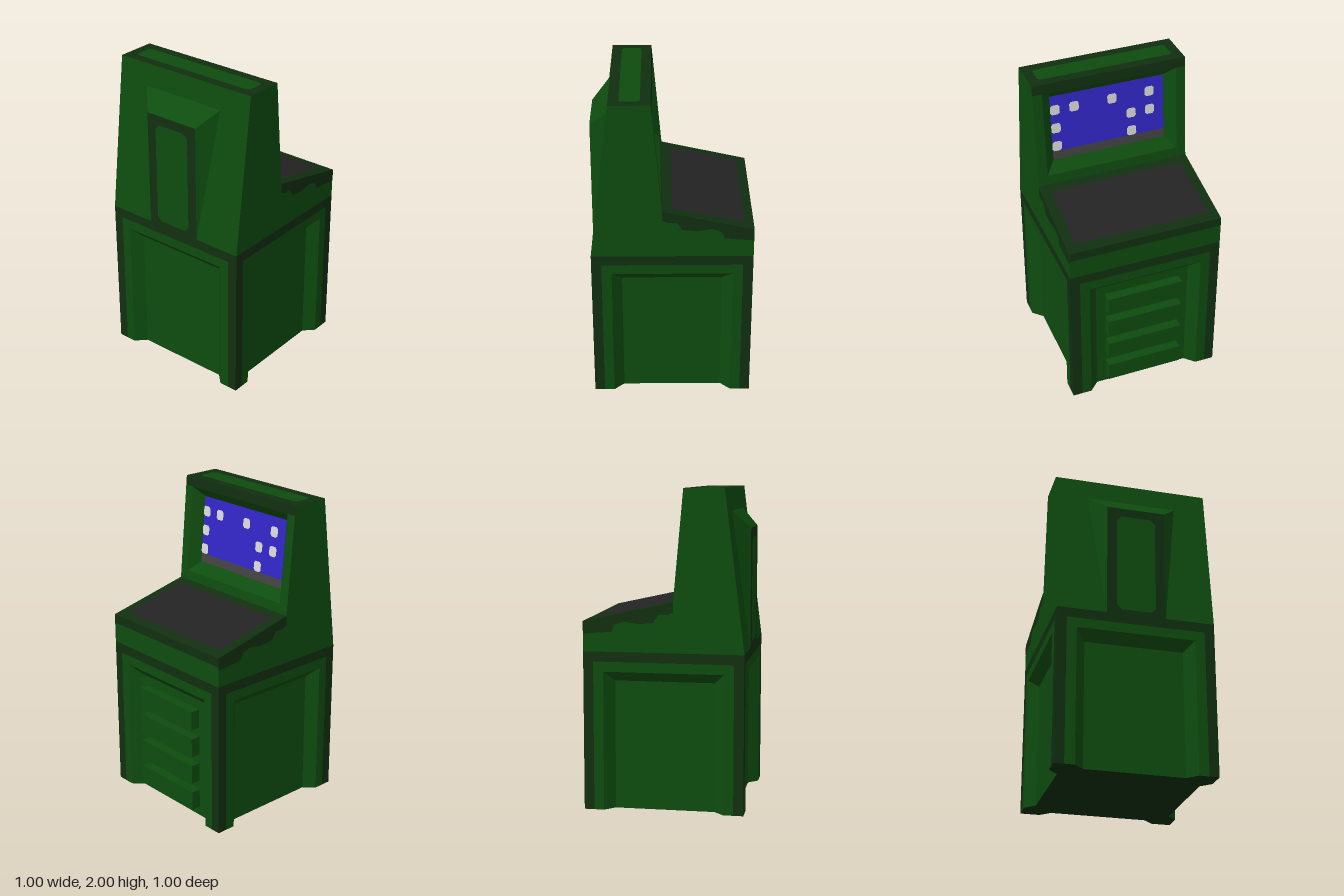
import * as THREE from 'three';

const colour = (name, hex) => {
  const m = new THREE.MeshStandardMaterial({ color: hex });
  m.name = name;
  return m;
};

// Mesh of flat convex polygons, corners anticlockwise seen from outside
function faces(name, material, polys) {
  const pos = [];
  for (const p of polys)
    for (let i = 1; i < p.length - 1; i++) pos.push(...p[0], ...p[i], ...p[i + 1]);
  const g = new THREE.BufferGeometry();
  g.setAttribute('position', new THREE.Float32BufferAttribute(pos, 3));
  g.computeVertexNormals();
  const mesh = new THREE.Mesh(g, material);
  mesh.name = name;
  return mesh;
}

// Rectangle (with optional cut corners) placed on a surface by a mapping
function rect(u0, v0, u1, v1, map, c = 0) {
  const pts = c
    ? [[u0 + c, v0], [u1 - c, v0], [u1, v0 + c], [u1, v1 - c], [u1 - c, v1], [u0 + c, v1], [u0, v1 - c], [u0, v0 + c]]
    : [[u0, v0], [u1, v0], [u1, v1], [u0, v1]];
  return pts.map(([u, v]) => map(u, v));
}
const atZ = (z) => (u, v) => [u, v, z];
const mirrorZ = (p) => p.map(([x, y, z]) => [x, y, -z]).reverse();

// Sloping frame around a recess that is o wide outside and i wide inside
function bevel(o, i, y0o, y0i, y1o, y1i, outer, inner) {
  return [
    [outer(-o, y0o), inner(-i, y0i), inner(-i, y1i), outer(-o, y1o)],
    [inner(i, y0i), outer(o, y0o), outer(o, y1o), inner(i, y1i)],
    [inner(-i, y1i), inner(i, y1i), outer(o, y1o), outer(-o, y1o)],
  ];
}

export function createModel() {
  const green = colour('green', 0x0e4c0f);
  const dark = colour('dark green', 0x112f10);
  const blue = colour('screen blue', 0x3226c8);
  const white = colour('light grey', 0xdadada);
  const black = colour('charcoal', 0x242324);
  const grey = colour('grey', 0x434343);

  const model = new THREE.Group();
  model.name = 'console';
  const group = (name, turn, ...meshes) => {
    const g = new THREE.Group();
    g.name = name;
    g.rotation.y = turn;
    g.add(...meshes);
    model.add(g);
    return g;
  };

  // Cabinet: four equal sides with a recessed panel open at the floor
  const out = atZ(0.5), deep = atZ(0.4375);
  const sides = ['front', 'right', 'back', 'left'];
  sides.forEach((s, k) => {
    group(s + 'CabinetSide', k * Math.PI / 2,
      faces('border', dark, [
        rect(-0.5, 0, -0.4375, 1, out), rect(0.4375, 0, 0.5, 1, out),
        rect(-0.4375, 0.9375, 0.4375, 1, out)]),
      faces('frame', green, [
        rect(-0.4375, 0, -0.375, 0.9375, out), rect(0.375, 0, 0.4375, 0.9375, out),
        rect(-0.375, 0.875, 0.375, 0.9375, out)]),
      faces('bevel', green, bevel(0.375, 0.3125, 0, 0, 0.875, 0.8125, out, deep)),
      faces('panel', green, [rect(-0.3125, 0, 0.3125, 0.8125, deep)]));
  });

  // Underside: square cut by the four recesses
  const base = new THREE.Shape();
  for (let k = 0; k < 4; k++) {
    const a = k * Math.PI / 2;
    for (const [x, y] of [[-0.5, -0.5], [-0.375, -0.5], [-0.3125, -0.4375], [0.3125, -0.4375], [0.375, -0.5]]) {
      const px = x * Math.cos(a) - y * Math.sin(a), py = x * Math.sin(a) + y * Math.cos(a);
      if (k === 0 && x === -0.5) base.moveTo(px, py);
      else base.lineTo(px, py);
    }
  }
  const underside = new THREE.Mesh(new THREE.ShapeGeometry(base), dark);
  underside.name = 'underside';
  underside.rotation.x = Math.PI / 2;
  model.add(underside);

  // Drawers on the operator's side
  for (let i = 0; i < 4; i++) {
    const d = new THREE.Mesh(new THREE.BoxGeometry(0.0625, 0.125, 0.5), green);
    d.name = 'drawer';
    d.position.set(0.46875, 0.125 + i * 0.1875, 0);
    model.add(d);
  }

  // Upper housing side walls
  const wall = [
    [[-0.5, 1, 0.5], [-0.0625, 1, 0.5], [-0.0625, 1.3125, 0.5], [-0.125, 2, 0.5], [-0.375, 2, 0.5]],
    [[-0.0625, 1, 0.5], [0.5, 1, 0.5], [0.5, 1.1875, 0.5], [-0.0625, 1.3125, 0.5]]];
  model.add(faces('housingSides', green, [...wall, ...wall.map(mirrorZ)]));

  // Uneven dark trim below the desk, built in strips
  const trim = [[-0.0625, 1.25], [-0.03, 1.235], [0.03, 1.235], [0.06, 1.185], [0.15, 1.175],
    [0.24, 1.19], [0.3, 1.17], [0.32, 1.125], [0.5, 1.11]];
  const deskY = (x) => 1.3125 - (x + 0.0625) * 0.125 / 0.5625;
  const strips = trim.slice(1).map(([x1, y1], i) => {
    const [x0, y0] = trim[i];
    return [[x0, y0, 0.502], [x1, y1, 0.502], [x1, deskY(x1), 0.502], [x0, deskY(x0), 0.502]];
  });
  model.add(faces('deskTrim', dark, [...strips, ...strips.map(mirrorZ)]));

  // Desk, top and screen, built facing +z and turned to +x
  const desk = (lift) => (u, v) => [u, deskY(-v) + lift, -v];
  const top = (lift) => (u, v) => [u, 2 + lift, -v];
  const slope = (d) => (u, y) => [u, y, -0.0625 - (y - 1.3125) / 11 - d];
  const dots = [[-0.345, 1.78], [-0.22, 1.78], [0.03, 1.78], [0.28, 1.78],
    [-0.345, 1.655], [0.155, 1.655], [0.28, 1.655], [-0.345, 1.53], [0.155, 1.53]];
  const face = slope(0), screen = slope(0.0625);
  group('operatorSide', Math.PI / 2,
    faces('deskFront', green, [rect(-0.5, 1, 0.5, 1.13, out)]),
    faces('deskEdge', dark, [rect(-0.5, 1.13, 0.5, 1.1875, out)]),
    faces('desk', dark, [rect(-0.5, -0.5, 0.5, 0.0625, desk(0))]),
    faces('deskPad', black, [rect(-0.4375, -0.4375, 0.4375, 0, desk(0.003), 0.015)]),
    faces('top', dark, [rect(-0.5, 0.125, 0.5, 0.375, top(0))]),
    faces('topPanel', green, [rect(-0.4375, 0.1875, 0.4375, 0.3125, top(-0.0005 + 0.001), 0.015)]),
    faces('screenBrow', dark, [rect(-0.5, 1.9375, 0.5, 2, face)]),
    faces('screenFrame', green, [
      rect(-0.5, 1.3125, -0.4375, 1.9375, face), rect(0.4375, 1.3125, 0.5, 1.9375, face),
      rect(-0.4375, 1.3125, 0.4375, 1.375, face)]),
    faces('screenBevel', green, [
      ...bevel(0.4375, 0.375, 1.375, 1.4375, 1.9375, 1.875, face, screen),
      [face(-0.4375, 1.375), face(0.4375, 1.375), screen(0.375, 1.4375), screen(-0.375, 1.4375)]]),
    faces('screen', blue, [rect(-0.375, 1.495, 0.375, 1.875, screen)]),
    faces('screenStrip', grey, [rect(-0.375, 1.4375, 0.375, 1.495, screen)]),
    faces('screenDots', white, dots.map(([u, y]) =>
      rect(u - 0.031, y - 0.033, u + 0.031, y + 0.033, slope(0.0595), 0.012))));

  // Sloping back with a tapered hood, built facing +z and turned to -x
  const a = [-0.29, 1.86, 0.3925], b = [0.29, 1.86, 0.3925];
  const c = [-0.1875, 1.75, 0.5], d = [0.1875, 1.75, 0.5];
  const e = [-0.1875, 1, 0.5], f = [0.1875, 1, 0.5];
  group('housingBack', -Math.PI / 2,
    faces('backWall', green, [[[-0.5, 1, 0.5], [0.5, 1, 0.5], [0.5, 2, 0.375], [-0.5, 2, 0.375]]]),
    faces('hood', green, [[c, d, b, a], [a, e, c], [f, b, d]]),
    faces('hoodFace', dark, [[e, f, d, c]]),
    faces('hoodPanel', green, [rect(-0.125, 1.03, 0.125, 1.69, atZ(0.502), 0.03)]));

  return model;
}
